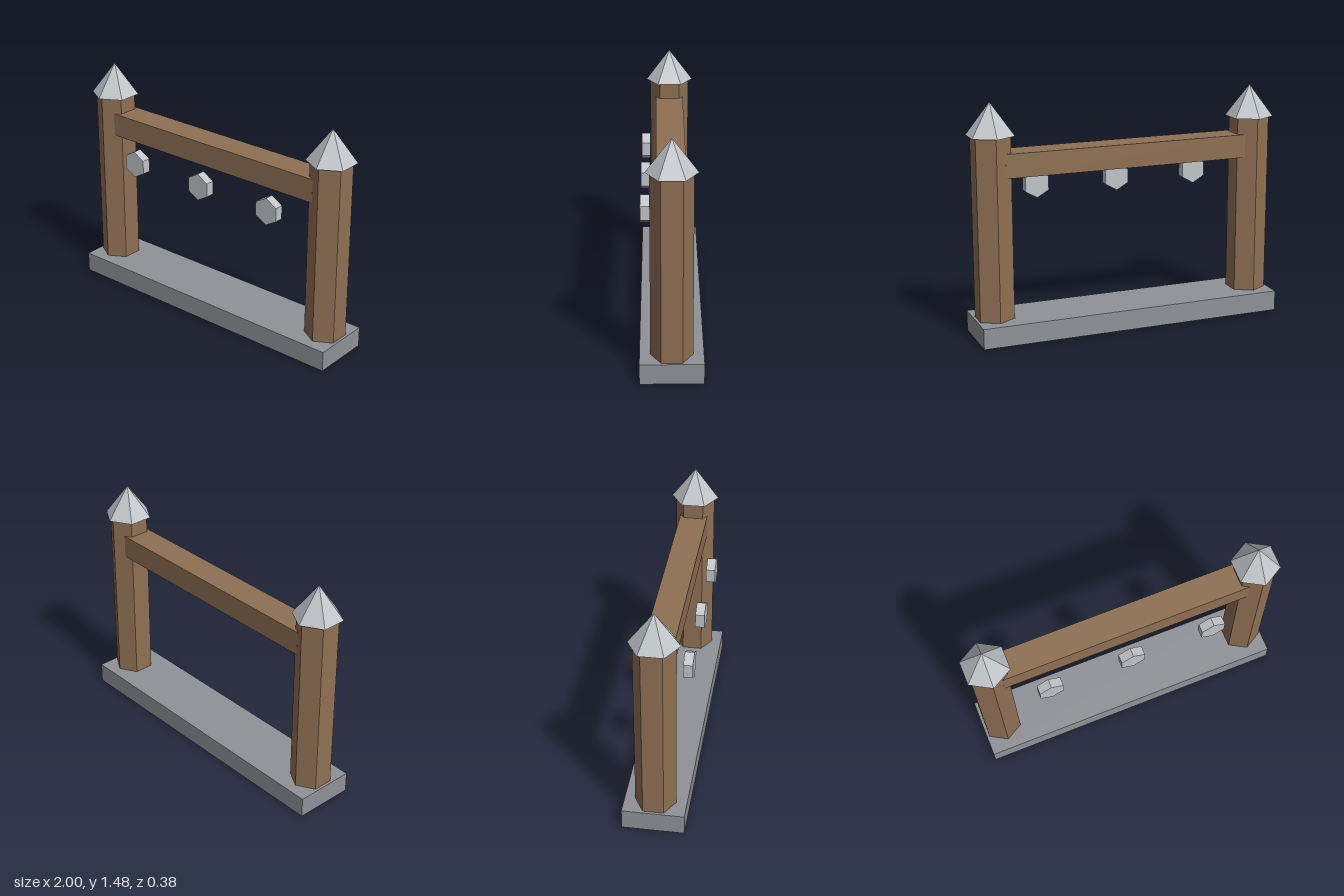
import * as THREE from 'three';

export function createModel() {
  const group = new THREE.Group();
  const material = (name, color) => {
    const m = new THREE.MeshStandardMaterial({ color, flatShading: true });
    m.name = name;
    return m;
  };
  const wood = material('wood', 0x8f7053);
  const stone = material('stone', 0x8f9297);
  const metal = material('pale metal', 0xc0c5c9);

  const add = (name, geometry, mat, x, y, z) => {
    const mesh = new THREE.Mesh(geometry, mat);
    mesh.name = name;
    mesh.position.set(x, y, z);
    group.add(mesh);
    return mesh;
  };

  // Stone plinth
  add('base', new THREE.BoxGeometry(1.987, 0.13, 0.382), stone, 0, 0.065, 0);

  // Hexagonal posts with pointed caps
  const postGeometry = new THREE.CylinderGeometry(0.127, 0.127, 1.278, 6);
  const capGeometry = new THREE.ConeGeometry(0.153, 0.204, 6);
  for (const [side, x] of [['left', 0.867], ['right', -0.867]]) {
    add(side + 'Post', postGeometry, wood, x, 0.641, 0);
    add(side + 'Cap', capGeometry, metal, x, 1.382, 0);
  }

  // Crossbeam let into both posts
  add('crossbeam', new THREE.BoxGeometry(1.6, 0.15, 0.178), wood, 0, 1.1, 0);

  // Row of hexagonal discs in front of the beam
  const discGeometry = new THREE.CylinderGeometry(0.088, 0.088, 0.057, 6).rotateX(Math.PI / 2);
  for (const x of [-0.535, 0, 0.535]) {
    add('hexDisc', discGeometry, metal, x, 0.922, 0.156);
  }

  return group;
}
